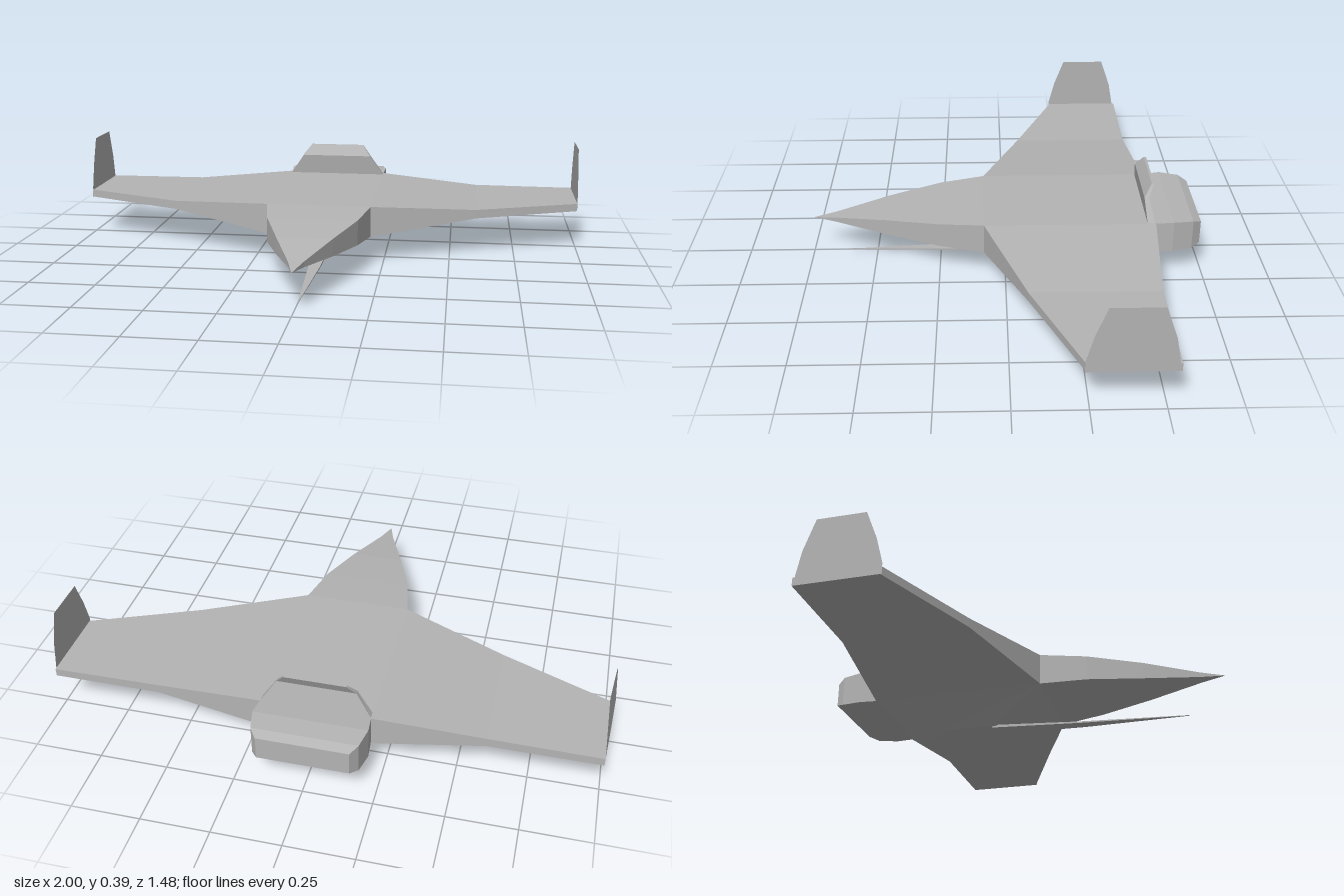
import * as THREE from 'three';

const grey = new THREE.MeshStandardMaterial({ color: 0xb4b4b4 });
grey.name = 'hull grey';
grey.flatShading = true;
grey.side = THREE.DoubleSide;

// Faceted skin over a row of rings, each counterclockwise seen from the far end
function loft(rings) {
  const pos = [];
  const tri = (a, b, c) => pos.push(...a, ...b, ...c);
  for (let r = 0; r < rings.length - 1; r++) {
    const a = rings[r], b = rings[r + 1];
    for (let i = 0; i < a.length; i++) {
      const j = (i + 1) % a.length;
      tri(a[i], a[j], b[j]);
      tri(a[i], b[j], b[i]);
    }
  }
  const first = rings[0], last = rings[rings.length - 1];
  for (let i = 1; i < first.length - 1; i++) {
    tri(first[0], first[i + 1], first[i]);
    tri(last[0], last[i], last[i + 1]);
  }
  const geo = new THREE.BufferGeometry();
  geo.setAttribute('position', new THREE.Float32BufferAttribute(pos, 3));
  geo.computeVertexNormals();
  return geo;
}

// Rectangular rings facing along z, x and y
const ringZ = ([z, w, bottom, top]) =>
  [[w, bottom, z], [w, top, z], [-w, top, z], [-w, bottom, z]];
const ringX = ([x, back, front, bottom, top]) =>
  [[x, bottom, back], [x, top, back], [x, top, front], [x, bottom, front]];
const ringY = ([w, back, yBack, front, yFront]) =>
  [[w, yFront, front], [w, yBack, back], [-w, yBack, back], [-w, yFront, front]];

export function createModel() {
  const model = new THREE.Group();
  const add = (name, geo) => {
    const mesh = new THREE.Mesh(geo, grey);
    mesh.name = name;
    model.add(mesh);
    return mesh;
  };

  // Tapered wing running through the centre section
  const half = [
    [0.2, -0.563, 0.08, 0.1, 0.217],
    [0.6, -0.533, -0.07, 0.148, 0.182],
    [1, -0.535, -0.235, 0.15, 0.18],
  ];
  const mirrored = half.map(([x, ...rest]) => [-x, ...rest]).reverse();
  add('wing', loft([...mirrored, ...half].map(ringX)));

  // Pointed nose
  add('nose', loft([
    [0.08, 0.2, 0.1, 0.217],
    [0.25, 0.168, 0.112, 0.206],
    [0.45, 0.1, 0.124, 0.187],
    [0.65, 0.026, 0.14, 0.159],
    [0.738, 0.001, 0.147, 0.148],
  ].map(ringZ)));

  // Belly narrowing down to a small flat keel
  add('belly', loft([
    [0.035, -0.345, 0.025, -0.14, 0.02],
    [0.2, -0.563, 0.1, 0.08, 0.1],
  ].map(ringY)));

  // Thin spike reaching forward from the keel
  add('spike', loft([
    [-0.15, 0.035, 0.015, 0.026],
    [0.2, 0.022, 0.004, 0.01],
    [0.6, 0.001, 0, 0.002],
  ].map(ringZ)));

  // Engine block with a bevelled rear
  add('engine', loft([
    [-0.738, 0.165, 0.115, 0.205],
    [-0.705, 0.19, 0.104, 0.219],
    [-0.63, 0.206, 0.1, 0.224],
    [-0.56, 0.2, 0.1, 0.217],
    [-0.53, 0.165, 0.12, 0.21],
  ].map(ringZ)));

  // Bent plate standing in front of the engine
  add('spoiler', loft([
    [0.2, -0.56, 0.215, -0.532, 0.215],
    [0.143, -0.54, 0.3, -0.522, 0.297],
    [0.112, -0.56, 0.34, -0.551, 0.34],
  ].map(ringY)));

  // Upright fins at the wing tips
  const profile = [
    [-0.23, 0.15], [-0.23, 0.19], [-0.255, 0.285], [-0.295, 0.39],
    [-0.47, 0.39], [-0.51, 0.275], [-0.533, 0.15],
  ].map(([z, y]) => new THREE.Vector2(z, y));
  for (const side of [-1, 1]) {
    const fin = new THREE.ShapeGeometry(new THREE.Shape(profile));
    fin.rotateY(-Math.PI / 2);
    add(side > 0 ? 'leftFin' : 'rightFin', fin).position.x = side;
  }

  return model;
}
